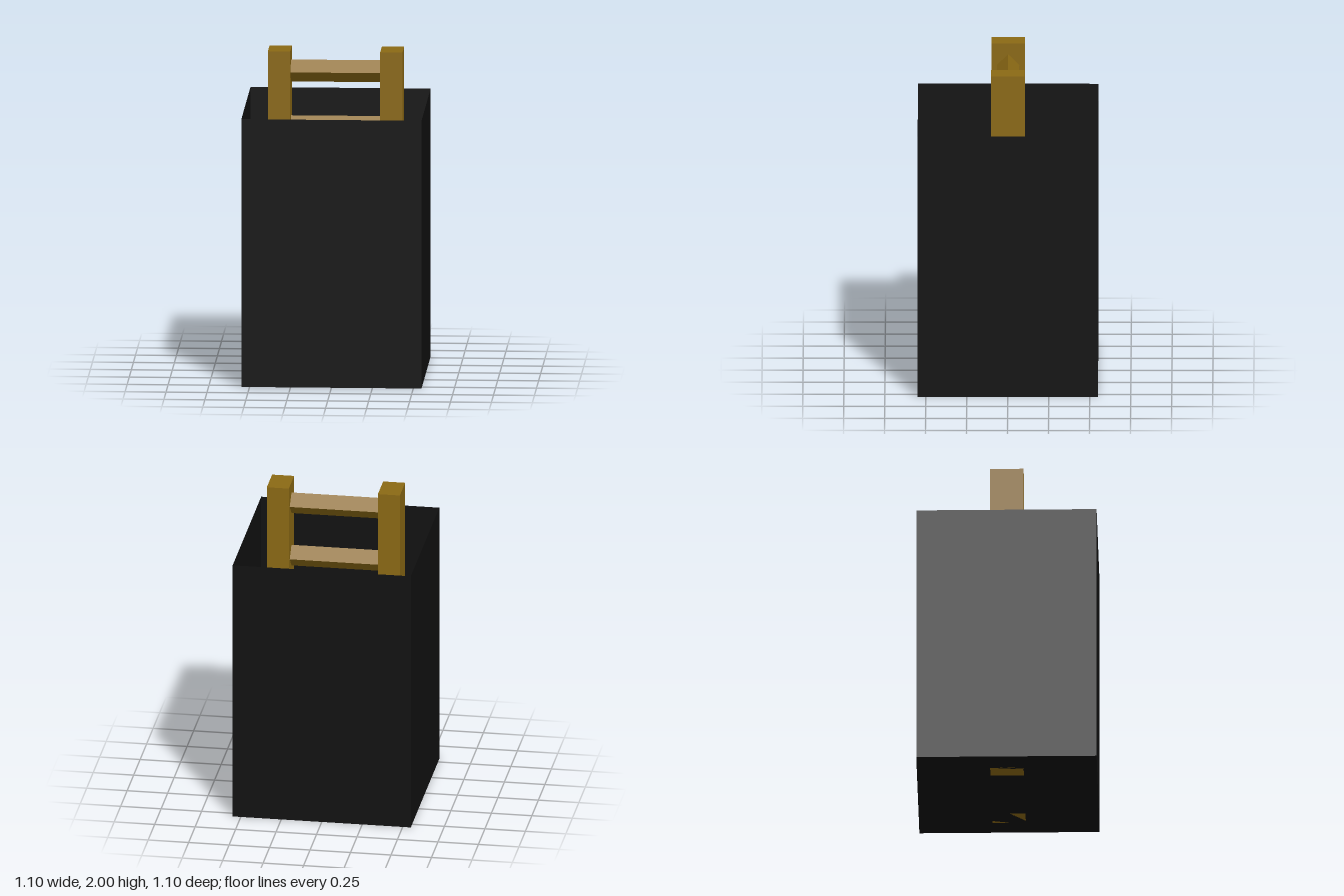
import * as THREE from 'three';

const HEIGHT = 2;         // ladder height
const SHAFT_W = 1.1;      // shaft width and depth
const SHAFT_H = 1.66;
const RUNGS = 6;

export function createModel() {
  const model = new THREE.Group();
  const wood = new THREE.MeshStandardMaterial({ color: 0x8b6914, flatShading: true });
  const dark = new THREE.MeshStandardMaterial({ color: 0x111111, side: THREE.DoubleSide });

  const add = (parent, name, geometry, material) => {
    const mesh = new THREE.Mesh(geometry, material);
    mesh.name = name;
    parent.add(mesh);
    return mesh;
  };

  // Open-topped shaft: four thin walls and a floor
  const shaft = new THREE.Group();
  shaft.name = 'shaft';
  model.add(shaft);
  ['frontWall', 'leftWall', 'backWall', 'rightWall'].forEach((name, i) => {
    const wall = new THREE.PlaneGeometry(SHAFT_W, SHAFT_H);
    wall.translate(0, SHAFT_H / 2, SHAFT_W / 2).rotateY(i * Math.PI / 2);
    add(shaft, name, wall, dark);
  });
  add(shaft, 'floor', new THREE.PlaneGeometry(SHAFT_W, SHAFT_W).rotateX(Math.PI / 2), dark);

  // Ladder standing in the middle of the shaft
  const ladder = new THREE.Group();
  ladder.name = 'ladder';
  model.add(ladder);
  for (const side of [1, -1]) {
    const post = add(ladder, side > 0 ? 'leftPost' : 'rightPost',
      new THREE.BoxGeometry(0.136, HEIGHT, 0.204), wood);
    post.position.set(side * 0.343, HEIGHT / 2, 0);
  }

  // Square rungs turned on edge, evenly spaced between the posts
  const rungGeometry = new THREE.CylinderGeometry(0.068, 0.068, 0.56, 4).rotateZ(Math.PI / 2);
  const margin = 0.135;
  for (let i = 0; i < RUNGS; i++) {
    const rung = add(ladder, 'rung' + (i + 1), rungGeometry, wood);
    rung.position.y = margin + i * (HEIGHT - 2 * margin) / (RUNGS - 1);
  }

  return model;
}
